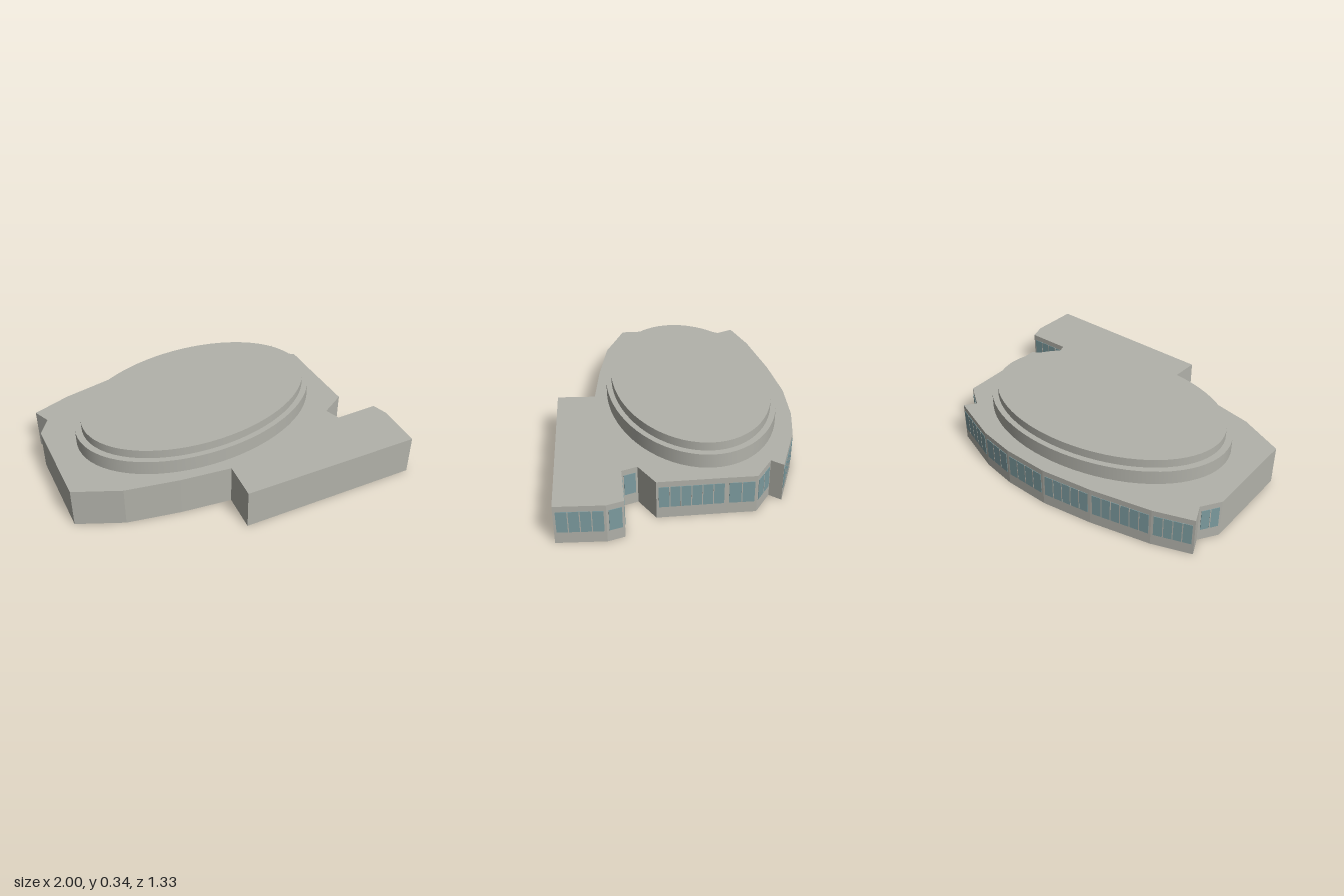
import * as THREE from 'three';

// Building footprint as [x, z], walked from the left tip along the back
const outline = [
  [-1, -0.08], [-0.84, -0.22], [-0.57, -0.4], [-0.33, -0.535], [-0.1, -0.62], [0.09, -0.66],
  [0.38, -0.665], [0.36, -0.595], [0.505, -0.56], [0.56, -0.42], [0.69, -0.1], [0.595, 0.025],
  [0.65, 0.09], [0.865, 0], [0.92, 0.07], [1, 0.305], [0.095, 0.66], [0.03, 0.465],
  [-0.23, 0.535], [-0.51, 0.59], [-0.77, 0.58], [-0.955, 0.105], [-0.93, -0.01],
];
// Walls (by their first corner) that carry a window band
const glazedWalls = [0, 1, 2, 3, 4, 5, 7, 8, 9, 11, 12, 13, 14, 21];
const HEIGHT = 0.217, SILL = 0.065, HEAD = 0.185;

export function createModel() {
  const concrete = new THREE.MeshStandardMaterial({ name: 'concrete grey', color: 0xb2b2aa });
  const glass = new THREE.MeshStandardMaterial({ name: 'window teal', color: 0x7d9ca0 });

  const model = new THREE.Group();
  model.name = 'building';
  const add = (name, geometry, material, parent = model) => {
    const mesh = new THREE.Mesh(geometry, material);
    mesh.name = name;
    parent.add(mesh);
    return mesh;
  };

  // Main block
  const shape = new THREE.Shape(outline.map(([x, z]) => new THREE.Vector2(x, -z)));
  const block = new THREE.ExtrudeGeometry(shape, { depth: HEIGHT, bevelEnabled: false });
  block.rotateX(-Math.PI / 2);
  add('mainBlock', block, concrete);

  // Stepped oval drum on the roof
  const drum = (name, a, b, bottom, top) => {
    const geometry = new THREE.CylinderGeometry(1, 1, top - bottom, 72);
    geometry.scale(a, 1, b);
    geometry.rotateY(THREE.MathUtils.degToRad(29));
    add(name, geometry, concrete).position.set(-0.123, (bottom + top) / 2, -0.039);
  };
  drum('lowerDrum', 0.69, 0.451, HEIGHT - 0.01, 0.295);
  drum('upperDrum', 0.655, 0.422, 0.285, 0.342);

  // Window bands: thin glass plates with slim mullions, set along each wall
  for (const i of glazedWalls) {
    const [x0, z0] = outline[i];
    const [x1, z1] = outline[(i + 1) % outline.length];
    const length = Math.hypot(x1 - x0, z1 - z0);
    const width = length - 0.024;
    const band = new THREE.Group();
    band.name = 'windowBand';
    band.position.set((x0 + x1) / 2, (SILL + HEAD) / 2, (z0 + z1) / 2);
    band.rotation.y = Math.atan2(z0 - z1, x1 - x0);
    model.add(band);
    add('glassStrip', new THREE.BoxGeometry(width, HEAD - SILL, 0.005), glass, band);
    const panes = Math.max(1, Math.round(width / 0.052));
    for (let k = 1; k < panes; k++) {
      const mullion = add('mullion', new THREE.BoxGeometry(0.005, HEAD - SILL, 0.007), concrete, band);
      mullion.position.x = (k / panes - 0.5) * width;
    }
  }
  return model;
}
